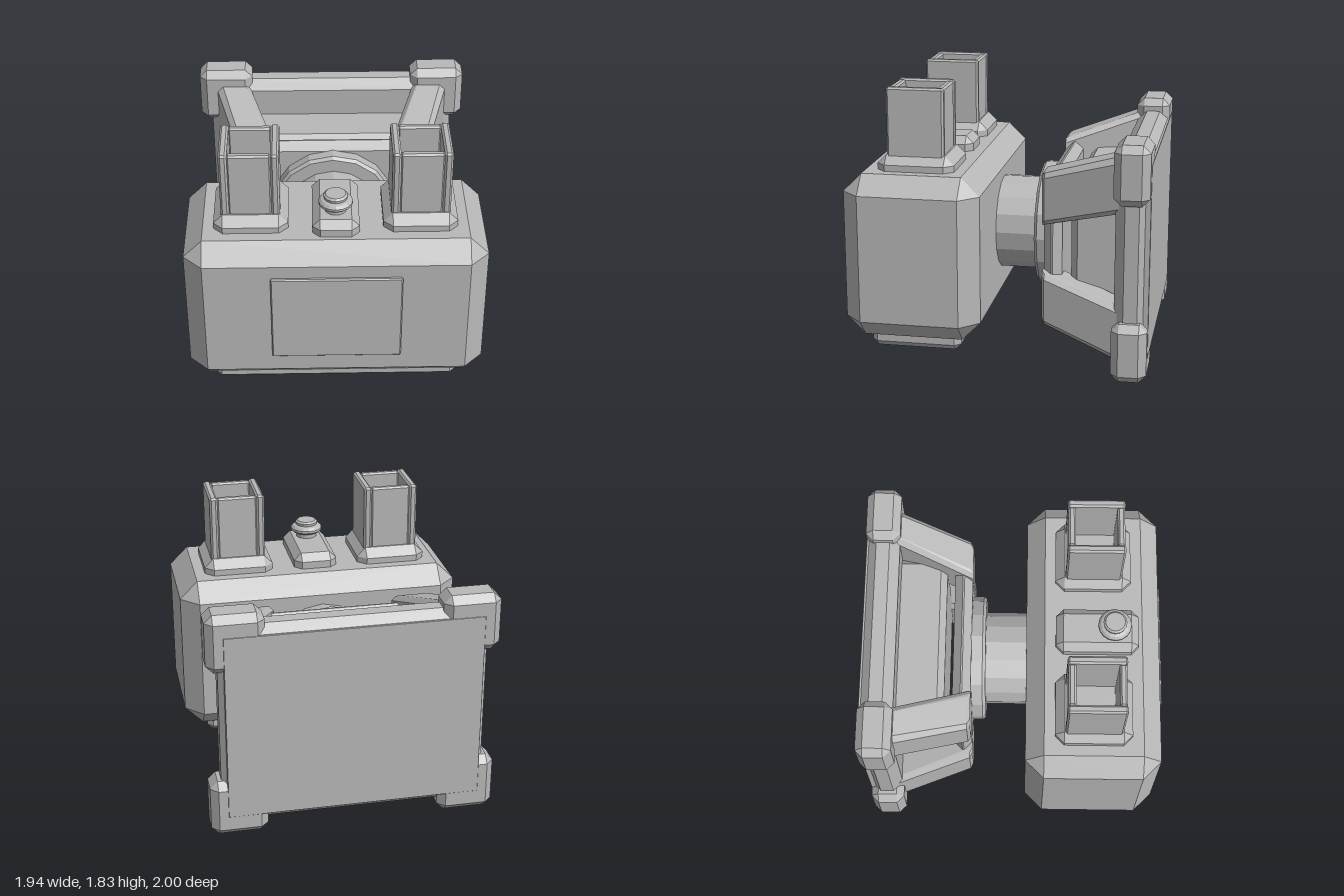
import * as THREE from 'three';
import { ConvexGeometry } from 'three/addons/geometries/ConvexGeometry.js';

const grey = new THREE.MeshStandardMaterial({ color: 0xb8b8b8, flatShading: true });
grey.name = 'grey';

const SIGNS = [-1, 1];
const MID_Y = 0.78; // height of the mount axis

function add(parent, name, geometry) {
  const mesh = new THREE.Mesh(geometry, grey);
  mesh.name = name;
  parent.add(mesh);
  return mesh;
}

// Box between given limits with every edge and corner chamfered by c
function chamferBox(x0, x1, y0, y1, z0, z1, c) {
  const points = [];
  for (const sx of SIGNS) for (const sy of SIGNS) for (const sz of SIGNS) {
    const x = sx < 0 ? x0 : x1, y = sy < 0 ? y0 : y1, z = sz < 0 ? z0 : z1;
    points.push(
      new THREE.Vector3(x, y - sy * c, z - sz * c),
      new THREE.Vector3(x - sx * c, y, z - sz * c),
      new THREE.Vector3(x - sx * c, y - sy * c, z));
  }
  return new ConvexGeometry(points);
}

// Chamfered rectangle at depth z
function section(x0, x1, y0, y1, z, c) {
  return [
    [x0 + c, y0], [x1 - c, y0], [x1, y0 + c], [x1, y1 - c],
    [x1 - c, y1], [x0 + c, y1], [x0, y1 - c], [x0, y0 + c],
  ].map(([x, y]) => new THREE.Vector3(x, y, z));
}

export function createModel() {
  const model = new THREE.Group();
  model.name = 'mountedDevice';

  // Main housing, base and front panel
  add(model, 'housing', chamferBox(-0.97, 0.97, 0.2, 1.29, 0.085, 0.98, 0.122));
  add(model, 'basePlate', chamferBox(-0.81, 0.81, 0.1, 0.26, 0.23, 0.83, 0.04));
  add(model, 'frontPanel', chamferBox(-0.42, 0.42, 0.445, 1.08, 0.95, 1.0, 0.008));

  // Two square open sockets made of four separate walls
  for (const s of SIGNS) {
    const socket = new THREE.Group();
    socket.name = s > 0 ? 'leftSocket' : 'rightSocket';
    socket.position.set(s * 0.54, 0, 0.53);
    model.add(socket);
    add(socket, 'socketBase', chamferBox(-0.238, 0.238, 1.2, 1.392, -0.253, 0.253, 0.06));
    for (const t of SIGNS) {
      const x = t * 0.161;
      add(socket, 'socketSideWall', chamferBox(x - 0.027, x + 0.027, 1.36, 1.83, -0.188, 0.188, 0.013));
      const z = t * 0.159;
      add(socket, 'socketEndWall', chamferBox(-0.138, 0.138, 1.36, 1.825, z - 0.024, z + 0.024, 0.012));
    }
  }

  // Raised pod with a stepped round button
  add(model, 'buttonPod', chamferBox(-0.15, 0.15, 1.2, 1.39, 0.28, 0.83, 0.05));
  const profile = [
    [0, 1.36], [0.07, 1.36], [0.07, 1.42], [0.095, 1.428], [0.11, 1.442], [0.11, 1.458],
    [0.095, 1.475], [0.075, 1.482], [0.078, 1.5], [0.065, 1.512], [0, 1.512],
  ].map(([r, y]) => new THREE.Vector2(r, y));
  add(model, 'button', new THREE.LatheGeometry(profile, 16)).position.z = 0.665;

  // Round neck and bevelled flange along the z axis
  const neck = add(model, 'neck', new THREE.CylinderGeometry(0.32, 0.32, 0.36, 16));
  neck.rotation.x = Math.PI / 2;
  neck.position.set(0, MID_Y, -0.07);
  const flangeProfile = [[0, -0.32], [0.432, -0.32], [0.432, -0.21], [0.412, -0.19], [0, -0.19]]
    .map(([r, y]) => new THREE.Vector2(r, y));
  const flange = add(model, 'flange', new THREE.LatheGeometry(flangeProfile, 16));
  flange.rotation.x = Math.PI / 2;
  flange.position.y = MID_Y;

  // Mount: front plate, inner core, rear frame and back panel
  add(model, 'mountPlate', chamferBox(-0.62, 0.62, 0.3, 1.26, -0.405, -0.284, 0.055));
  add(model, 'mountCore', chamferBox(-0.57, 0.57, 0.35, 1.21, -0.85, -0.46, 0.045));
  add(model, 'rearFrame', chamferBox(-0.865, 0.865, 0.09, 1.47, -0.995, -0.775, 0.065));
  add(model, 'backPanel', chamferBox(-0.83, 0.83, 0.145, 1.415, -1.0, -0.95, 0.002));

  // Splayed corner struts and corner bumpers, mirrored to all four corners
  for (const sx of SIGNS) for (const sy of SIGNS) {
    const points = [
      ...section(0.4, 0.635, 0.155, 0.5, -0.281, 0.03),
      ...section(0.425, 0.67, 0.17, 0.512, -0.3, 0.03),
      ...section(0.595, 0.835, 0.315, 0.69, -0.84, 0.04),
    ].map((p) => new THREE.Vector3(p.x * sx, MID_Y + p.y * sy, p.z));
    add(model, 'cornerStrut', new ConvexGeometry(points));

    const x = sx * 0.753, y = 0.777 + sy * 0.582;
    add(model, 'cornerBumper', chamferBox(x - 0.187, x + 0.187, y - 0.195, y + 0.195, -0.998, -0.768, 0.05));
  }

  return model;
}
